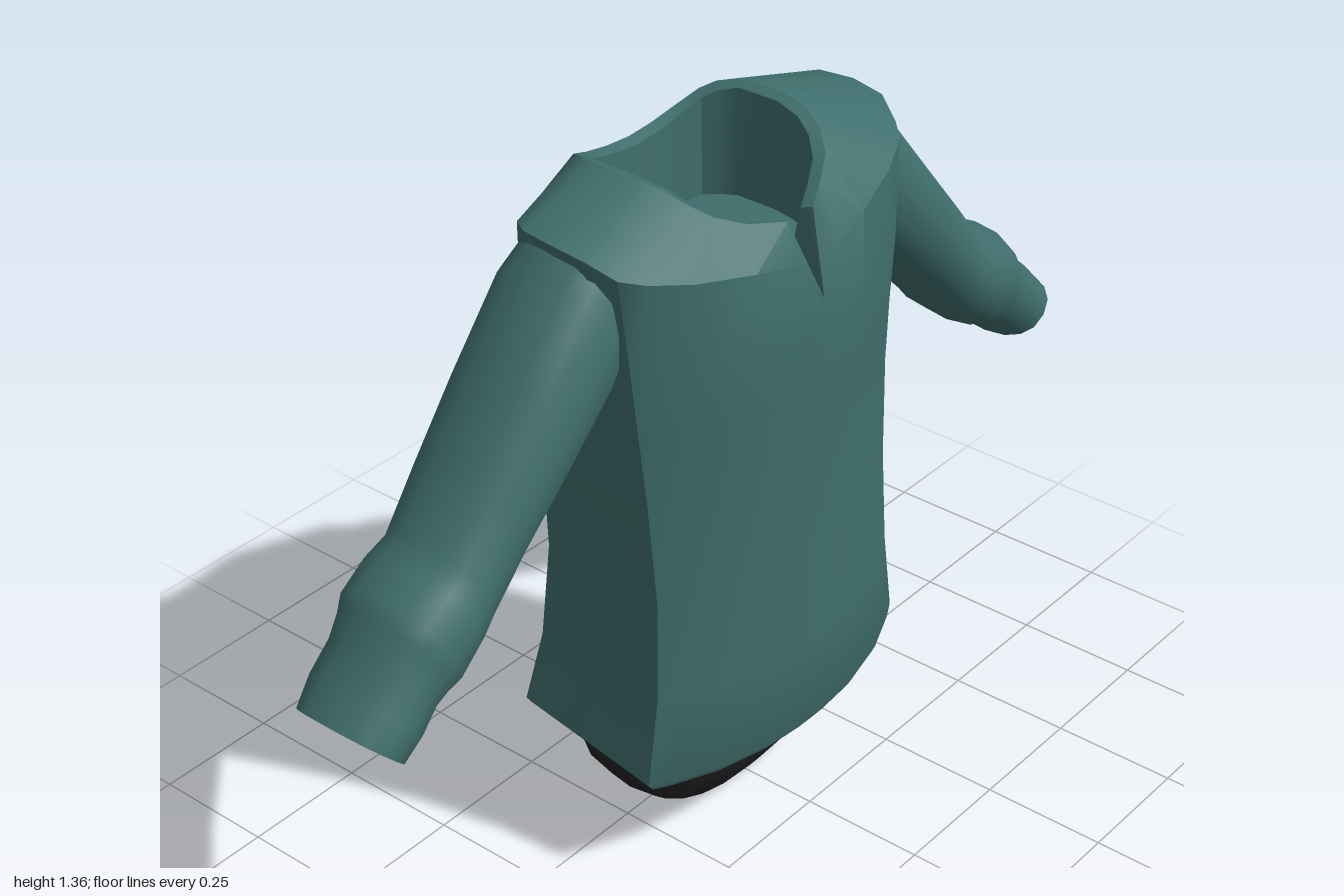
import * as THREE from 'three';
import { toCreasedNormals } from 'three/addons/utils/BufferGeometryUtils.js';

// Skin a list of closed rings (arrays of [x, y, z]); optional fans close the ends.
function loft(rings, { capStart = false, capEnd = false, crease = 0.75 } = {}) {
  const n = rings[0].length;
  const pos = rings.flat(2);
  const index = [];
  for (let r = 0; r < rings.length - 1; r++) {
    for (let i = 0; i < n; i++) {
      const a = r * n + i, b = r * n + (i + 1) % n;
      index.push(a, b, b + n, a, b + n, a + n);
    }
  }
  const cap = (r, flip) => {
    const c = pos.length / 3;
    for (let k = 0; k < 3; k++) pos.push(rings[r].reduce((s, p) => s + p[k], 0) / n);
    for (let i = 0; i < n; i++) {
      const a = r * n + i, b = r * n + (i + 1) % n;
      index.push(...(flip ? [b, a, c] : [a, b, c]));
    }
  };
  if (capStart) cap(0, true);
  if (capEnd) cap(rings.length - 1, false);
  const g = new THREE.BufferGeometry();
  g.setAttribute('position', new THREE.Float32BufferAttribute(pos, 3));
  g.setIndex(index);
  return toCreasedNormals(g, crease);
}

// Complete a half ring (front centre to back centre on +x) by mirroring.
const mirrorRing = (half) =>
  [...half, ...half.slice(1, -1).reverse().map(([x, y, z]) => [-x, y, z])];

// Torso section: bowed front, flat side panel, bowed back.
function torsoRing([y, w, zf, zfc, wb, zbc, zb], tilt = 0) {
  const half = [];
  for (const f of [0, 0.1, 0.35, 0.65, 0.9, 1]) half.push([w * f, zfc + (zf - zfc) * (1 - f ** 2.3)]);
  for (const t of [0.25, 0.5, 0.75]) half.push([w + (wb - w) * t, zfc + (zbc - zfc) * t]);
  for (const f of [1, 0.85, 0.6, 0.3, 0]) half.push([wb * f, zbc + (zb - zbc) * (1 - f ** 2.3)]);
  return mirrorRing(half.map(([x, z]) => [x, y - z * tilt, z]));
}

// Rounded-box loop for sleeves: top and bottom points plus front and back depth.
function sleeveRing([tx, ty, bx, by, zf, zb], side) {
  const n = 16, ring = [];
  const soft = (v) => Math.sign(v) * Math.abs(v) ** 0.85;
  for (let i = 0; i < n; i++) {
    const t = (i / n) * Math.PI * 2;
    const c = soft(Math.cos(t)) / 2, s = soft(Math.sin(t)) / 2;
    ring.push([
      side * ((tx + bx) / 2 + (tx - bx) * c),
      (ty + by) / 2 + (ty - by) * c,
      (zf + zb) / 2 + (zf - zb) * s,
    ]);
  }
  return side > 0 ? ring : ring.reverse();
}

export function createModel() {
  const model = new THREE.Group();
  const cloth = new THREE.MeshStandardMaterial({ color: 0x3f6e6c, side: THREE.DoubleSide });
  cloth.name = 'teal cloth';
  const dark = new THREE.MeshStandardMaterial({ color: 0x242424 });
  dark.name = 'black cloth';
  const add = (name, geometry, material) => {
    const mesh = new THREE.Mesh(geometry, material);
    mesh.name = name;
    model.add(mesh);
  };

  // Neckline with a pointed notch at the front centre
  const neck = [
    [0, 1.12, 0.255], [0.035, 1.265, 0.2], [0.1, 1.275, 0.165], [0.155, 1.3, 0.135],
    [0.185, 1.325, 0.1], [0.2, 1.345, 0.06], [0.21, 1.355, 0], [0.21, 1.355, -0.05],
    [0.21, 1.355, -0.1], [0.19, 1.345, -0.14], [0.17, 1.33, -0.165], [0.12, 1.31, -0.18],
    [0.06, 1.297, -0.185], [0, 1.293, -0.185],
  ];
  // Shoulder line
  const shoulder = [
    [0, 1.1, 0.256], [0.05, 1.2, 0.24], [0.15, 1.22, 0.225], [0.27, 1.24, 0.19],
    [0.35, 1.26, 0.155], [0.385, 1.27, 0.12], [0.41, 1.3, 0.07], [0.415, 1.31, 0],
    [0.405, 1.31, -0.07], [0.36, 1.29, -0.125], [0.3, 1.27, -0.16], [0.22, 1.25, -0.185],
    [0.11, 1.24, -0.2], [0, 1.235, -0.2],
  ];

  // Shirt body from the inner hem up to the neckline
  add('shirtBody', loft([
    torsoRing([0.34, 0.325, 0.22, 0.14, 0.3, -0.14, -0.205]),
    torsoRing([0.235, 0.345, 0.232, 0.15, 0.32, -0.155, -0.235], 0.08),
    torsoRing([0.225, 0.36, 0.247, 0.16, 0.333, -0.165, -0.248], 0.09),
    torsoRing([0.238, 0.372, 0.255, 0.16, 0.34, -0.17, -0.255], 0.08),
    torsoRing([0.4, 0.345, 0.255, 0.16, 0.315, -0.145, -0.213]),
    torsoRing([0.6, 0.335, 0.25, 0.155, 0.305, -0.13, -0.19]),
    torsoRing([0.8, 0.345, 0.25, 0.145, 0.315, -0.13, -0.187]),
    torsoRing([0.95, 0.36, 0.254, 0.14, 0.33, -0.135, -0.202]),
    torsoRing([1.06, 0.373, 0.256, 0.138, 0.342, -0.14, -0.212]),
    mirrorRing(shoulder),
    mirrorRing(neck),
  ]), cloth);

  // Collar edge and the lining closing the neck opening
  add('collarLining', loft([
    mirrorRing(neck),
    mirrorRing(neck.map(([x, y, z]) => [x * 0.9, y - 0.008, z * 0.88])),
    mirrorRing(neck.map(([x, y, z]) => [x * 0.88, 1.11 + (y - 1.12) * 0.1, Math.min(z * 0.85, 0.15)])),
  ], { capEnd: true, crease: 0.5 }), cloth);

  // Sleeves with a gathered fold, cuff and turned-in end
  const sleeve = [
    [0.395, 1.302, 0.33, 1.04, 0.11, -0.13],
    [0.44, 1.265, 0.38, 0.995, 0.122, -0.14],
    [0.55, 1.13, 0.49, 0.9, 0.122, -0.137],
    [0.66, 1.0, 0.6, 0.8, 0.117, -0.127],
    [0.745, 0.895, 0.675, 0.725, 0.115, -0.12],
    [0.785, 0.865, 0.705, 0.695, 0.12, -0.135],
    [0.85, 0.835, 0.765, 0.645, 0.125, -0.13],
    [0.872, 0.81, 0.795, 0.637, 0.12, -0.115],
    [0.9, 0.765, 0.82, 0.628, 0.115, -0.11],
    [0.955, 0.715, 0.855, 0.598, 0.12, -0.11],
    [1.0, 0.67, 0.895, 0.565, 0.115, -0.1],
    [0.985, 0.67, 0.9, 0.582, 0.1, -0.087],
    [0.9, 0.745, 0.825, 0.655, 0.095, -0.082],
  ];
  for (const [name, side] of [['leftSleeve', 1], ['rightSleeve', -1]]) {
    add(name, loft(sleeve.map((r) => sleeveRing(r, side))), cloth);
  }

  // Dark rounded lower body under the hem: [y, half width, front z, back z]
  const lower = [
    [0.005, 0.1, 0.065, -0.075], [0.018, 0.19, 0.1, -0.11], [0.055, 0.232, 0.128, -0.145],
    [0.12, 0.277, 0.16, -0.178], [0.22, 0.308, 0.187, -0.207], [0.38, 0.31, 0.19, -0.195],
  ];
  const soft = (v) => Math.sign(v) * Math.abs(v) ** 0.78;
  add('lowerBody', loft(lower.map(([y, w, zf, zb]) => {
    const ring = [];
    for (let i = 0; i < 20; i++) {
      const t = (i / 20) * Math.PI * 2;
      ring.push([w * soft(Math.sin(t)), y, (zf + zb) / 2 + ((zf - zb) / 2) * soft(Math.cos(t))]);
    }
    return ring;
  }), { capStart: true, capEnd: true }), dark);
  model.children.at(-1).position.y = -0.005;

  return model;
}
